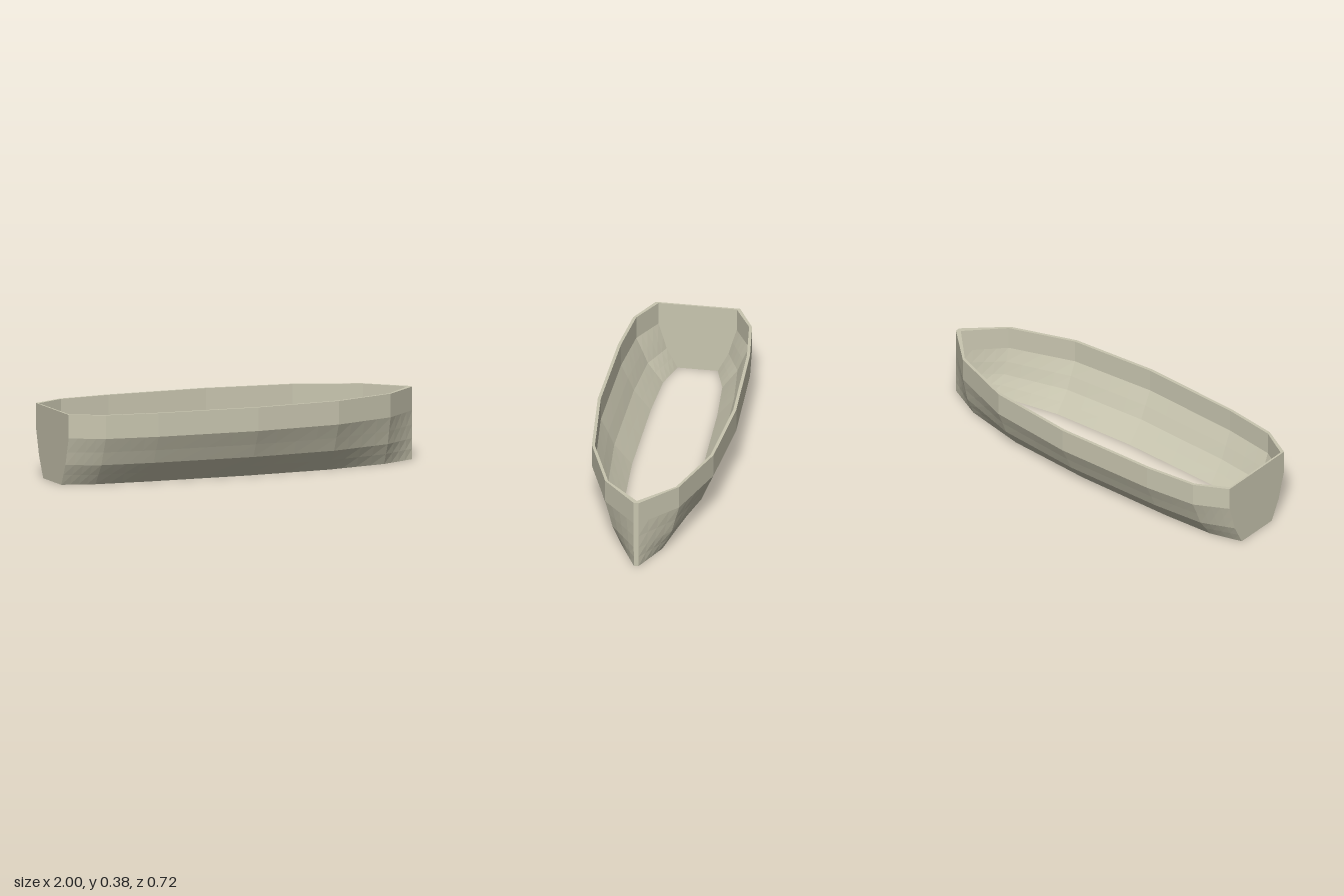
import * as THREE from 'three';

// Half of the plan outline, transom to bow: x, half width at the rim
const STATIONS = [[-1, 0.22], [-0.83, 0.31], [-0.55, 0.344], [0, 0.361], [0.465, 0.317], [0.805, 0.193], [1, 0.013]];
// Section of the side: height, fraction of the rim half width
const LEVELS = [[0, 0.55], [0.055, 0.678], [0.11, 0.805], [0.18, 0.895], [0.255, 1], [0.378, 1]];
const WALL = 0.016;
const STEPS = 4;

// Closed section at one station: up the outside, over the rim, down the inside
function section([x, w], side) {
  const bow = x === 1;
  const outer = LEVELS.map(([y, k]) =>
    new THREE.Vector3(x, y, side * w * (bow ? 0.8 + 0.2 * k : k)));
  const inner = outer.map((p) => new THREE.Vector3(
    bow ? 0.978 : x === -1 ? -0.99 : x, p.y, bow ? 0 : p.z - side * WALL));
  return [...outer, ...inner.reverse(), outer[0]];
}

// Skin joining consecutive sections, each bay split into short strips
function skin(sections, steps) {
  const pos = [];
  const put = (...pts) => pts.forEach((p) => pos.push(p.x, p.y, p.z));
  for (let i = 0; i < sections.length - 1; i++) {
    for (let s = 0; s < steps; s++) {
      const cut = (t) => sections[i].map((p, j) => p.clone().lerp(sections[i + 1][j], t));
      const a = cut(s / steps), b = cut((s + 1) / steps);
      for (let j = 0; j < a.length - 1; j++) {
        put(a[j], b[j], b[j + 1], a[j], b[j + 1], a[j + 1]);
      }
    }
  }
  const geometry = new THREE.BufferGeometry();
  geometry.setAttribute('position', new THREE.Float32BufferAttribute(pos, 3));
  geometry.computeVertexNormals();
  return geometry;
}

export function createModel() {
  const group = new THREE.Group();
  group.name = 'boatHull';
  const paint = new THREE.MeshStandardMaterial({ color: 0xc9c6b0, flatShading: true });
  paint.name = 'stone beige';

  const left = STATIONS.map((s) => section(s, 1));
  const right = STATIONS.map((s) => section(s, -1)).reverse();
  const add = (name, sections, steps) => {
    const mesh = new THREE.Mesh(skin(sections, steps), paint);
    mesh.name = name;
    group.add(mesh);
  };

  // Two planked sides, the narrow stem at the bow and the flat transom
  add('frontSide', left, STEPS);
  add('stem', [left[left.length - 1], right[0]], 1);
  add('backSide', right, STEPS);
  add('transom', [right[right.length - 1], left[0]], 1);
  return group;
}
